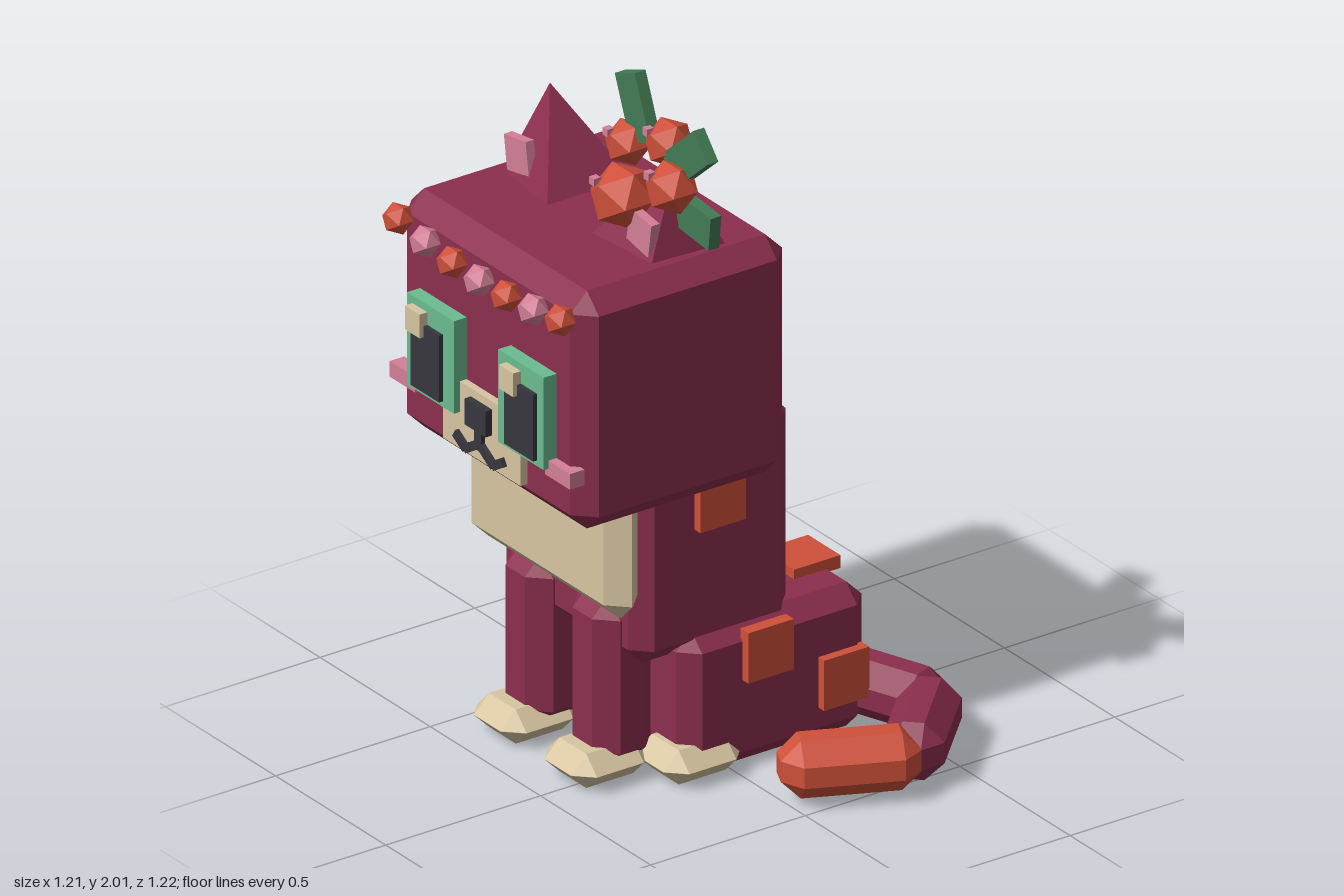
import * as THREE from 'three';
import { ConvexGeometry } from 'three/addons/geometries/ConvexGeometry.js';

const mat = (name, color) => {
  const m = new THREE.MeshStandardMaterial({ color });
  m.name = name;
  return m;
};

// Box with all edges cut flat by c
function chamferBox(w, h, d, c) {
  const pts = [];
  for (const sx of [-1, 1]) for (const sy of [-1, 1]) for (const sz of [-1, 1]) {
    const x = w / 2, y = h / 2, z = d / 2;
    pts.push(new THREE.Vector3(sx * x, sy * (y - c), sz * (z - c)));
    pts.push(new THREE.Vector3(sx * (x - c), sy * y, sz * (z - c)));
    pts.push(new THREE.Vector3(sx * (x - c), sy * (y - c), sz * z));
  }
  return new ConvexGeometry(pts);
}

export function createModel() {
  const group = new THREE.Group();
  group.name = 'sittingCat';
  const fur = mat('maroonFur', 0x8b2e4e);
  const cream = mat('cream', 0xd8c6a2);
  const orange = mat('orangeRed', 0xcf503a);
  const pink = mat('pink', 0xd47f97);
  const mint = mat('mintGreen', 0x6abc90);
  const leafGreen = mat('leafGreen', 0x427b54);
  const dark = mat('charcoal', 0x36363e);
  const MID = -0.18; // symmetry plane of the body
  const mirror = (x) => 2 * MID - x;

  const add = (name, geo, material, x, y, z) => {
    const m = new THREE.Mesh(geo, material);
    m.name = name;
    m.position.set(x, y, z);
    group.add(m);
    return m;
  };
  // Plain or chamfered box from its limits
  const span = (name, material, [x0, x1], [y0, y1], [z0, z1], c = 0) => {
    const s = [x1 - x0, y1 - y0, z1 - z0];
    const geo = c ? chamferBox(...s, c) : new THREE.BoxGeometry(...s);
    return add(name, geo, material, (x0 + x1) / 2, (y0 + y1) / 2, (z0 + z1) / 2);
  };

  // Body
  span('head', fur, [-0.605, 0.245], [0.865, 1.565], [-0.145, 0.54], 0.055);
  span('torso', fur, [-0.505, 0.145], [0.36, 1.025], [-0.225, 0.285], 0.05);
  span('hindquarters', fur, [-0.54, 0.18], [0.005, 0.43], [-0.445, 0.155], 0.05);
  span('bib', cream, [-0.535, 0.172], [0.525, 0.95], [0.27, 0.38], 0.054);

  // Legs and paws
  for (const flip of [false, true]) {
    const px = (x) => (flip ? mirror(x) : x);
    add('frontLeg', chamferBox(0.195, 0.5, 0.19, 0.054), fur, px(-0.028), 0.29, 0.25);
    add('frontPaw', chamferBox(0.22, 0.1, 0.25, 0.0495), cream, px(-0.02), 0.06, 0.305);
    add('hindPaw', chamferBox(0.22, 0.1, 0.25, 0.0495), cream, px(0.105), 0.06, 0.095);
  }

  // Tail: three chamfered segments curling forward
  const tail = [
    [0.162, -0.485, 0.94, -0.345, fur],
    [0.425, -0.43, 0.707, 0.707, fur],
    [0.472, -0.163, -0.42, 0.906, orange],
  ];
  for (const [x, z, dx, dz, m] of tail) {
    add(m === orange ? 'tailTip' : 'tailSegment', chamferBox(0.168, 0.168, 0.38, 0.054), m, x, 0.108, z)
      .rotation.y = Math.atan2(dx, dz);
  }

  // Square coat patches
  span('rumpPatch', orange, [-0.44, -0.293], [0.42, 0.458], [-0.38, -0.232]);
  span('rumpPatch', orange, [-0.105, 0.042], [0.42, 0.458], [-0.44, -0.29]);
  span('sidePatch', orange, [0.17, 0.207], [0.267, 0.415], [-0.172, -0.025]);
  span('sidePatch', orange, [0.17, 0.207], [0.115, 0.263], [-0.416, -0.27]);
  span('sidePatch', orange, [-0.57, -0.53], [0.21, 0.357], [-0.336, -0.187]);
  span('sidePatch', orange, [-0.57, -0.53], [0.1, 0.247], [-0.106, 0.042]);
  span('torsoPatch', orange, [0.135, 0.172], [0.733, 0.88], [-0.042, 0.105]);

  // Ears with inner plates
  for (const flip of [false, true]) {
    const px = (x) => (flip ? mirror(x) : x);
    const corners = [
      [-0.535, 1.56, 0.025], [-0.277, 1.56, 0], [-0.277, 1.56, 0.28],
      [-0.52, 1.56, 0.255], [-0.465, 1.81, 0.138],
    ].map(([x, y, z]) => new THREE.Vector3(px(x), y, z));
    add('ear', new ConvexGeometry(corners), fur, 0, 0, 0);
    add('innerEar', new THREE.BoxGeometry(0.1, 0.1, 0.027), pink, px(-0.458), 1.63, 0.238)
      .rotation.z = flip ? -0.15 : 0.15;
  }

  // Eyes and cheeks
  const eyes = [
    { iris: [-0.49, -0.278], pupil: [-0.457, -0.327], glint: [-0.465, -0.398], cheek: [-0.59, -0.475] },
    { iris: [-0.077, 0.13], pupil: [-0.032, 0.1], glint: [-0.038, 0.027], cheek: [0.115, 0.228] },
  ];
  for (const e of eyes) {
    span('iris', mint, e.iris, [1.04, 1.312], [0.53, 0.582]);
    span('pupil', dark, e.pupil, [1.057, 1.253], [0.55, 0.595]);
    span('eyeGlint', cream, e.glint, [1.22, 1.29], [0.57, 0.607]);
    span('cheek', pink, e.cheek, [1.018, 1.064], [0.52, 0.567]);
  }

  // Muzzle, nose and mouth
  span('muzzle', cream, [-0.355, -0.003], [0.933, 1.13], [0.52, 0.562]);
  span('nose', dark, [-0.228, -0.132], [1.03, 1.106], [0.55, 0.583]);
  span('noseStem', dark, [-0.195, -0.165], [0.97, 1.035], [0.55, 0.575]);
  for (const s of [-1, 1]) {
    add('mouthInner', new THREE.BoxGeometry(0.075, 0.026, 0.025), dark, MID + s * 0.032, 0.968, 0.562)
      .rotation.z = -s * 0.55;
    add('mouthOuter', new THREE.BoxGeometry(0.055, 0.026, 0.025), dark, MID + s * 0.086, 0.963, 0.562)
      .rotation.z = s * 0.55;
  }

  // String of berries over the brow
  for (let i = 0; i < 7; i++) {
    const t = (i - 3) / 3;
    add('browBerry', new THREE.IcosahedronGeometry(0.045, 0), i % 2 ? pink : orange,
      MID + t * 0.368, 1.47 + 0.032 * t * t, 0.57);
  }

  // Berry cluster with small glints
  const berries = [
    [-0.087, 1.795, 0.155, 0.066], [0.043, 1.835, 0.115, 0.07],
    [0.144, 1.762, 0.178, 0.075], [0.003, 1.697, 0.235, 0.094],
  ];
  for (const [x, y, z, r] of berries) {
    add('berry', new THREE.IcosahedronGeometry(r, 0), orange, x, y, z);
    add('berryGlint', new THREE.BoxGeometry(0.022, 0.022, 0.022), pink,
      x - 0.48 * r, y + 0.45 * r, z + 0.62 * r);
  }

  // Leaves behind the berries: x, y, lean of the long axis
  for (const [x, y, a] of [[-0.063, 1.905, 1.95], [0.174, 1.85, 0.72], [0.192, 1.682, -0.1]]) {
    add('leaf', new THREE.BoxGeometry(0.19, 0.098, 0.035), leafGreen, x, y, 0.14).rotation.z = a;
  }
  return group;
}
